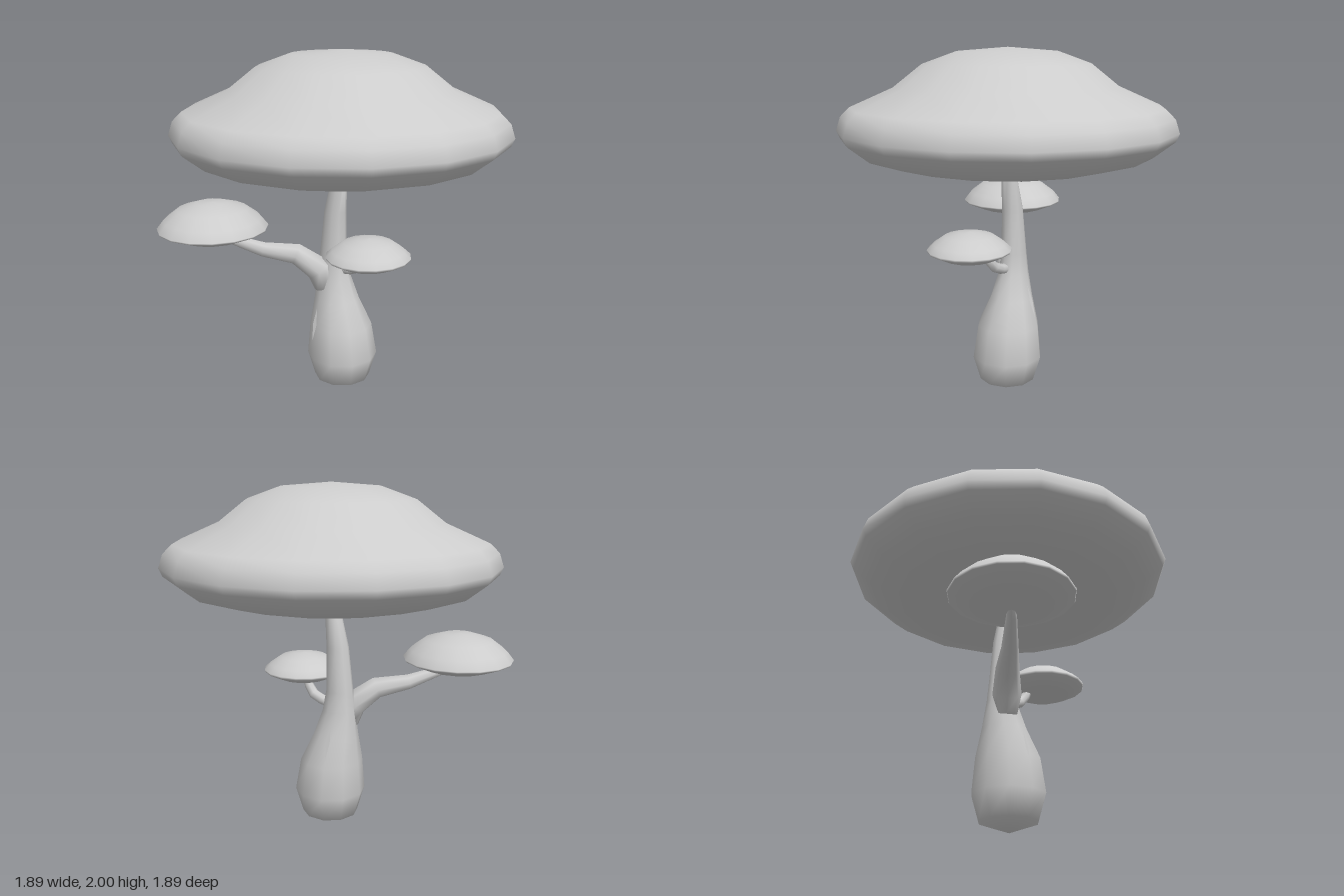
import * as THREE from 'three';
import { mergeVertices } from 'three/addons/utils/BufferGeometryUtils.js';

const V = (x, y, z) => new THREE.Vector3(x, y, z);

// Smooth closed skin over rings; each ring is { c: centre, u, v: its two half axes }
function loft(rings, sides) {
  const pos = [], index = [];
  for (const { c, u, v } of rings) {
    for (let i = 0; i < sides; i++) {
      const a = (i / sides) * Math.PI * 2;
      const p = c.clone().addScaledVector(u, Math.cos(a)).addScaledVector(v, Math.sin(a));
      pos.push(p.x, p.y, p.z);
    }
  }
  for (let r = 0; r < rings.length - 1; r++) {
    for (let i = 0; i < sides; i++) {
      const a = r * sides + i, b = r * sides + (i + 1) % sides;
      index.push(a, a + sides, b, b, a + sides, b + sides);
    }
  }
  // end caps
  const last = (rings.length - 1) * sides;
  for (let i = 1; i < sides - 1; i++) {
    index.push(0, i, i + 1, last, last + i + 1, last + i);
  }
  const g = new THREE.BufferGeometry();
  g.setAttribute('position', new THREE.Float32BufferAttribute(pos, 3));
  g.setIndex(index);
  const merged = mergeVertices(g, 1e-4);
  merged.computeVertexNormals();
  return merged;
}

// Branch rings stand square to the path; points are [x, y, z, radius]
function branchRings(points) {
  const c = points.map(p => V(p[0], p[1], p[2]));
  const side = V(0, 1, 0).cross(c[c.length - 1].clone().sub(c[0])).normalize();
  return points.map((p, i) => {
    const t = c[Math.min(i + 1, c.length - 1)].clone().sub(c[Math.max(i - 1, 0)]).normalize();
    const v = side.clone().cross(t).normalize();
    return { c: c[i], u: v.clone().cross(t).normalize().multiplyScalar(p[3]), v: v.multiplyScalar(-p[3]) };
  });
}

export function createModel() {
  const group = new THREE.Group();
  const grey = new THREE.MeshStandardMaterial({ color: 0xcccccc, side: THREE.DoubleSide });
  grey.name = 'pale grey';
  const add = (name, geometry, x = 0, y = 0, z = 0) => {
    const mesh = new THREE.Mesh(geometry, grey);
    mesh.name = name;
    mesh.position.set(x, y, z);
    group.add(mesh);
    return mesh;
  };
  const cap = (name, profile, x, z) =>
    add(name, new THREE.LatheGeometry(profile.map(p => new THREE.Vector2(...p)), 16), x, 0, z);

  // Caps
  cap('mainCap', [[0, 1.32], [0.61, 1.365], [0.81, 1.42], [0.925, 1.51], [0.945, 1.555], [0.92, 1.63],
    [0.87, 1.68], [0.63, 1.785], [0.47, 1.91], [0.28, 1.978], [0, 2]], 0, 0);
  cap('largeSideCap', [[0, 0.925], [0.2, 0.938], [0.315, 0.985], [0.32, 0.995], [0.28, 1.045],
    [0.2, 1.105], [0.09, 1.14], [0, 1.145]], -0.6, 0.44);
  cap('smallSideCap', [[0, 0.828], [0.15, 0.84], [0.235, 0.88], [0.24, 0.893], [0.205, 0.925],
    [0.14, 0.97], [0.06, 0.99], [0, 0.995]], 0.245, 0.08);

  // Bulbous stem: [y, centre x, half width, half depth]
  const stem = [[0, 0.01, 0.002, 0.002], [0.055, 0.005, 0.165, 0.165], [0.2, 0.005, 0.207, 0.208],
    [0.39, -0.005, 0.182, 0.185], [0.55, -0.035, 0.135, 0.125], [0.7, -0.055, 0.102, 0.082],
    [0.82, -0.06, 0.083, 0.07], [1.08, -0.045, 0.066, 0.06], [1.34, -0.005, 0.04, 0.042]];
  add('stem', loft(stem.map(([y, x, w, d]) => ({ c: V(x, y, 0), u: V(w, 0, 0), v: V(0, 0, d) })), 10));

  // Branches carrying the side caps
  add('largeBranch', loft(branchRings([[-0.09, 0.62, 0.05, 0.06], [-0.11, 0.73, 0.07, 0.08],
    [-0.22, 0.825, 0.15, 0.064], [-0.37, 0.855, 0.27, 0.045], [-0.53, 0.925, 0.39, 0.028],
    [-0.59, 0.95, 0.43, 0.022]]), 8));
  add('smallBranch', loft(branchRings([[-0.02, 0.73, 0, 0.03], [0.06, 0.745, 0, 0.03],
    [0.12, 0.77, 0, 0.03], [0.16, 0.815, 0.01, 0.027], [0.18, 0.87, 0.02, 0.025]]), 8));

  // Narrow slits in the bark, front and back
  const slit = new THREE.Shape([[0, -0.1], [0.013, 0], [0, 0.1], [-0.013, 0]].map(p => new THREE.Vector2(...p)));
  const frontSlit = add('frontSlit', new THREE.ShapeGeometry(slit), -0.07, 0.42, 0.17);
  frontSlit.rotation.x = -0.24;
  const backSlit = add('backSlit', new THREE.ShapeGeometry(slit), -0.06, 0.54, -0.13);
  backSlit.rotation.set(0.3, Math.PI, 0);
  return group;
}
